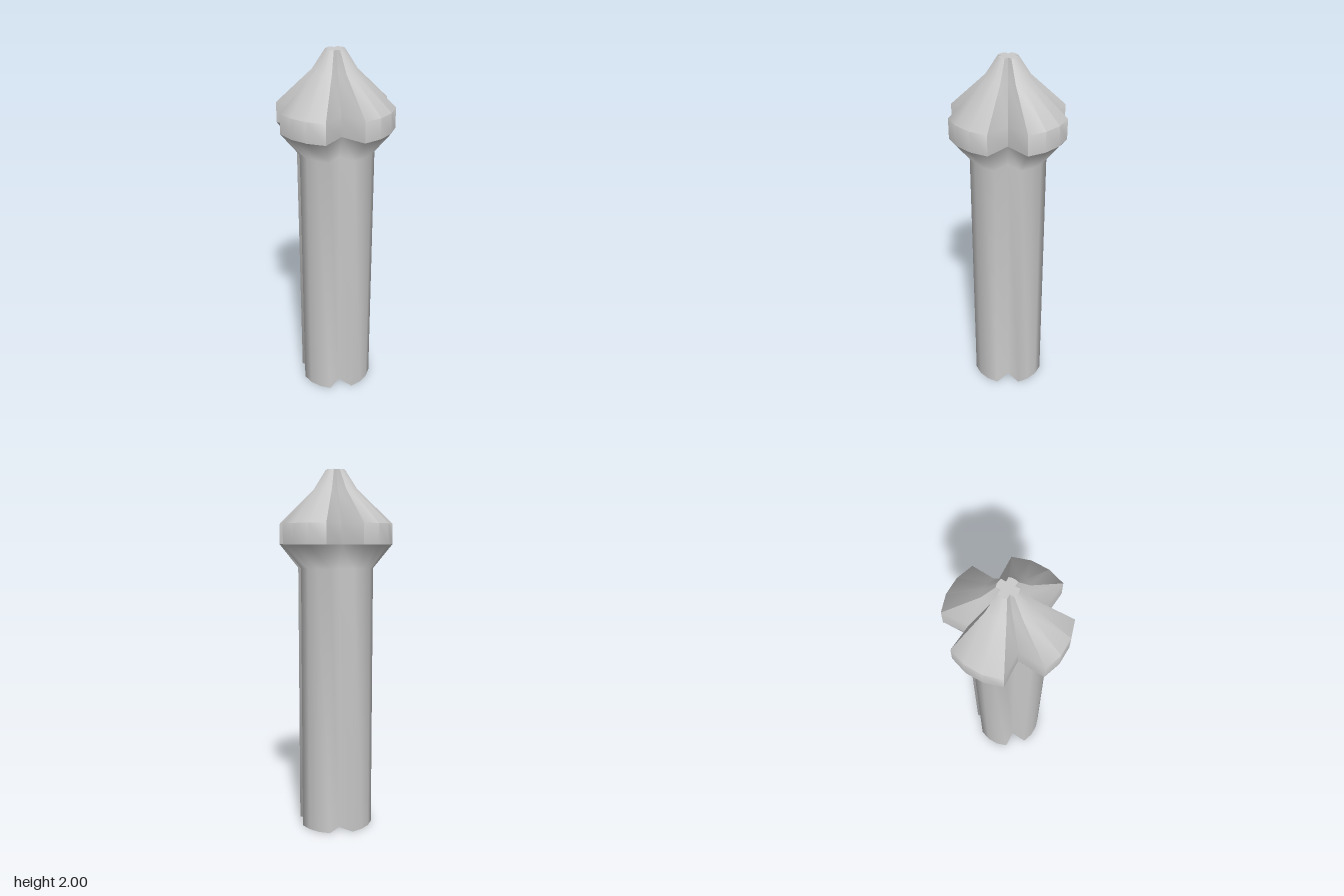
import * as THREE from 'three';
import { mergeVertices, toCreasedNormals } from 'three/addons/utils/BufferGeometryUtils.js';

const SIDES = 20;
const GROOVE = 0.6; // groove depth as a share of the lobe radius
const OUT = 1 / Math.cos(Math.PI / 10); // half width -> lobe radius

// Lathe a [halfWidth, y] profile, then pull every fifth edge inward as a V groove
function fluted(profile, crease) {
  const points = profile.map(([w, y]) => new THREE.Vector2(w * OUT, y));
  let geometry = new THREE.LatheGeometry(points, SIDES);
  const pos = geometry.attributes.position;
  for (let i = 0; i < pos.count; i++) {
    const side = Math.floor(i / points.length);
    if (side % 5 === 0) {
      pos.setX(i, pos.getX(i) * GROOVE);
      pos.setZ(i, pos.getZ(i) * GROOVE);
    }
  }
  geometry.deleteAttribute('uv');
  geometry.deleteAttribute('normal');
  geometry = mergeVertices(geometry, 1e-5);
  if (crease) return toCreasedNormals(geometry, crease);
  geometry.computeVertexNormals();
  return geometry;
}

export function createModel() {
  const group = new THREE.Group();
  const material = new THREE.MeshStandardMaterial({ color: 0xcccccc });
  const add = (name, geometry) => {
    const mesh = new THREE.Mesh(geometry, material);
    mesh.name = name;
    group.add(mesh);
  };

  // Long shaft with the flare under the head, softly shaded across the grooves
  add('shaft', fluted([[0.2, 0], [0.2, 1.47], [0.3, 1.6]]));

  // Pointed head with crisp groove edges
  add('head', fluted([[0.3, 1.6], [0.3, 1.71], [0.115, 1.895], [0.05, 2]],
    THREE.MathUtils.degToRad(48)));

  // Flat ends
  add('bottomCap', fluted([[0, 0], [0.2, 0]]));
  add('tip', fluted([[0.05, 2], [0, 2]]));

  return group;
}
